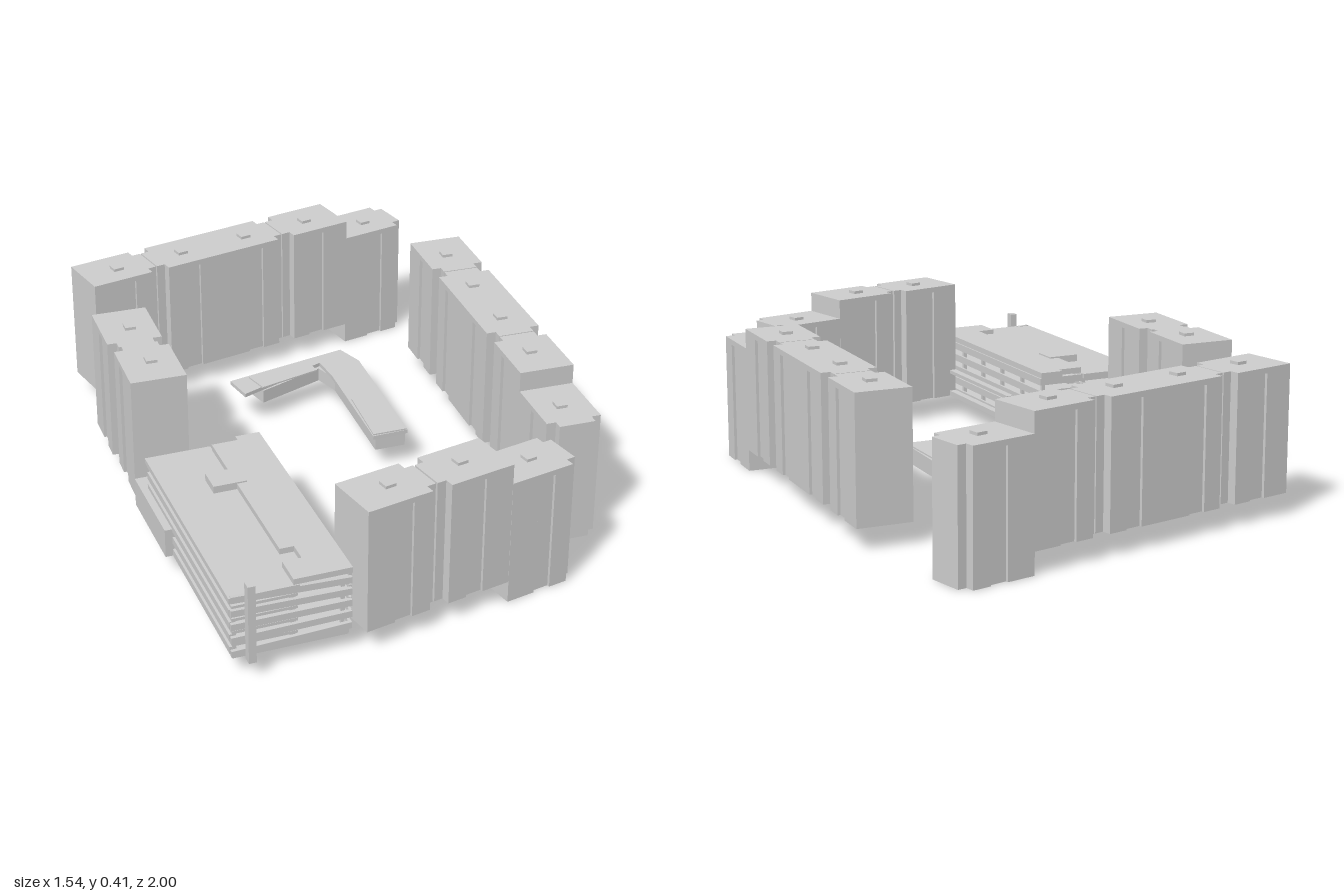
import * as THREE from 'three';

const grey = new THREE.MeshStandardMaterial({ color: 0xcccccc, flatShading: true, side: THREE.DoubleSide });

// Vertical prism over a plan outline of [x, z] points; open = without underside
function prism(name, points, y0, y1, open = false) {
  const shape = new THREE.Shape(points.map(([x, z]) => new THREE.Vector2(x, -z)));
  const geo = new THREE.ExtrudeGeometry(shape, { depth: y1 - y0, bevelEnabled: false });
  if (open) {
    // the first half of the lid group is the underside
    const skip = geo.groups[0].count / 2;
    for (const key of ['position', 'normal', 'uv']) {
      const a = geo.attributes[key];
      geo.setAttribute(key, new THREE.BufferAttribute(a.array.slice(skip * a.itemSize), a.itemSize));
    }
    geo.clearGroups();
  }
  geo.rotateX(-Math.PI / 2).translate(0, y0, 0);
  const mesh = new THREE.Mesh(geo, grey);
  mesh.name = name;
  return mesh;
}

// Box given by its limits
function block(name, x0, x1, y0, y1, z0, z1) {
  const mesh = new THREE.Mesh(new THREE.BoxGeometry(x1 - x0, y1 - y0, z1 - z0), grey);
  mesh.position.set((x0 + x1) / 2, (y0 + y1) / 2, (z0 + z1) / 2);
  mesh.name = name;
  return mesh;
}

// One housing unit: full width at one end, a narrower neck at the other (side = +1 or -1)
function unit(side, low) {
  const g = new THREE.Group();
  const y0 = low ? 0 : 0.06, y1 = low ? 0.35 : 0.405;
  const back = -0.081, front = 0.071, joint = -0.106, step = 0.078, end = 0.103;
  const neck = [[step, front], [step, front - 0.026], [end, front - 0.026],
    [end, back + 0.026], [step, back + 0.026], [step, back]];
  const flip = pts => pts.map(([x, z]) => [x * side, z]);
  const w = 0.025, d = 0.008;
  const recessed = [[joint, back], [joint, front], [-w, front], [-w, front - d], [w, front - d], [w, front],
    ...neck, [w, back], [w, back + d], [-w, back + d], [-w, back]];
  g.add(prism('walls', flip(recessed), y0, y1 - 0.015, true));
  g.add(prism('roof', flip([[joint, back], [joint, front], ...neck]), y1 - 0.015, y1));
  g.add(block('roofHatch', -0.015, 0.015, y1, y1 + 0.008, -0.015, 0.015));
  g.name = low ? 'lowUnit' : 'tallUnit';
  return g;
}

// Split-level parking hall, long axis on local z
function parkingHall() {
  const g = new THREE.Group();
  g.name = 'parkingHall';
  g.add(block('baseSlab', -0.15, 0.15, 0.045, 0.06, -0.3, 0.34));
  g.add(block('annex', -0.177, 0, 0.06, 0.14, -0.392, -0.12));
  // Decks with parapets along both long sides and across the ends
  for (let i = 0; i < 5; i++) {
    const y = 0.06 + i * 0.036;
    if (i < 4) g.add(block('leftDeck', -0.15, 0.018, y + 0.02, y + 0.028, -0.33, 0.34));
    g.add(block('rightDeck', 0.018, 0.15, y, y + 0.008, -0.33, 0.34));
    g.add(block('rightParapet', 0.15, 0.157, y, y + 0.02, -0.33, 0.34));
    g.add(block('leftParapet', -0.157, -0.15, y, y + 0.02, -0.33, 0.34));
    g.add(block('backParapet', -0.157, 0.157, y, y + 0.02, -0.337, -0.33));
    const band = block('frontParapet', -0.155, 0.155, y, y + 0.018, 0.34, 0.35);
    band.rotation.z = (2 - i) * 0.02;
    g.add(band);
  }
  // Columns
  for (const x of [-0.14, 0.01, 0.14])
    for (let i = 0; i < 6; i++) {
      const z = -0.32 + i * 0.128;
      g.add(block('column', x - 0.005, x + 0.005, 0.06, 0.22, z - 0.005, z + 0.005));
    }
  // Side gallery towards the courtyard
  g.add(block('galleryFloor', 0.157, 0.178, 0.06, 0.075, -0.17, 0.23));
  g.add(block('galleryRoof', 0.157, 0.178, 0.13, 0.14, -0.17, 0.23));
  // Two roof halves at different heights
  g.add(block('lowerRoof', -0.16, 0.02, 0.213, 0.226, -0.345, 0.35));
  const upper = [[0.018, -0.325], [0.09, -0.325], [0.09, -0.345], [0.157, -0.345], [0.157, 0.347],
    [0.005, 0.347], [0.005, 0.265], [0.055, 0.265], [0.055, 0.21], [0.018, 0.21]];
  g.add(prism('upperRoof', upper, 0.226, 0.242));
  g.add(block('stairHouse', -0.045, 0.045, 0.06, 0.246, -0.185, -0.115));
  g.add(block('cornerPost', -0.12, -0.1, 0.045, 0.265, 0.35, 0.375));
  g.position.set(-0.1, 0, 0.605);
  g.rotation.y = 0.49;
  return g;
}

// Angled pavilion in the courtyard
function pavilion() {
  const g = new THREE.Group();
  g.name = 'pavilion';
  g.add(prism('pavilionRoof', [[-0.29, -0.28], [0, -0.515], [0.063, -0.455], [0.245, -0.07], [0.155, -0.02],
    [-0.005, -0.355], [-0.05, -0.425], [-0.235, -0.21]], 0.097, 0.108));
  g.add(prism('pavilionWalls', [[-0.235, -0.305], [0, -0.5], [0.055, -0.45], [0.238, -0.072], [0.16, -0.032],
    [0.005, -0.355], [-0.05, -0.41], [-0.19, -0.255]], 0.058, 0.097));
  g.add(prism('leftRoofPanel', [[-0.24, -0.305], [-0.09, -0.425], [-0.05, -0.375], [-0.19, -0.25]], 0.108, 0.112));
  g.add(prism('rightRoofPanel', [[0.07, -0.217], [0.148, -0.255], [0.243, -0.07], [0.155, -0.025]], 0.108, 0.112));
  return g;
}

export function createModel() {
  const model = new THREE.Group();
  // Rows of units: from first to last centre, turned to face the courtyard
  const rows = [
    { name: 'backRow', from: [0.02, -0.895], to: [-0.63, -0.365], count: 5, turn: 0.684, side: 1, low: true },
    { name: 'leftRow', from: [0.665, 0.17], to: [0.3, -0.585], count: 5, turn: -1.12, side: 1, low: true },
    { name: 'frontRow', from: [0.598, 0.45], to: [0.27, 0.715], count: 3, turn: Math.PI + 0.684, side: -1, low: true },
    { name: 'rightRow', from: [-0.518, -0.01], to: [-0.423, 0.17], count: 2, turn: Math.PI - 1.12, side: -1, low: false },
  ];
  for (const r of rows) {
    const row = new THREE.Group();
    row.name = r.name;
    for (let i = 0; i < r.count; i++) {
      const t = i / (r.count - 1);
      const u = unit(i % 2 ? -r.side : r.side, r.low && i === 0);
      u.position.set(THREE.MathUtils.lerp(r.from[0], r.to[0], t), 0, THREE.MathUtils.lerp(r.from[1], r.to[1], t));
      u.rotation.y = r.turn;
      row.add(u);
    }
    model.add(row);
  }
  model.add(parkingHall(), pavilion());
  return model;
}
